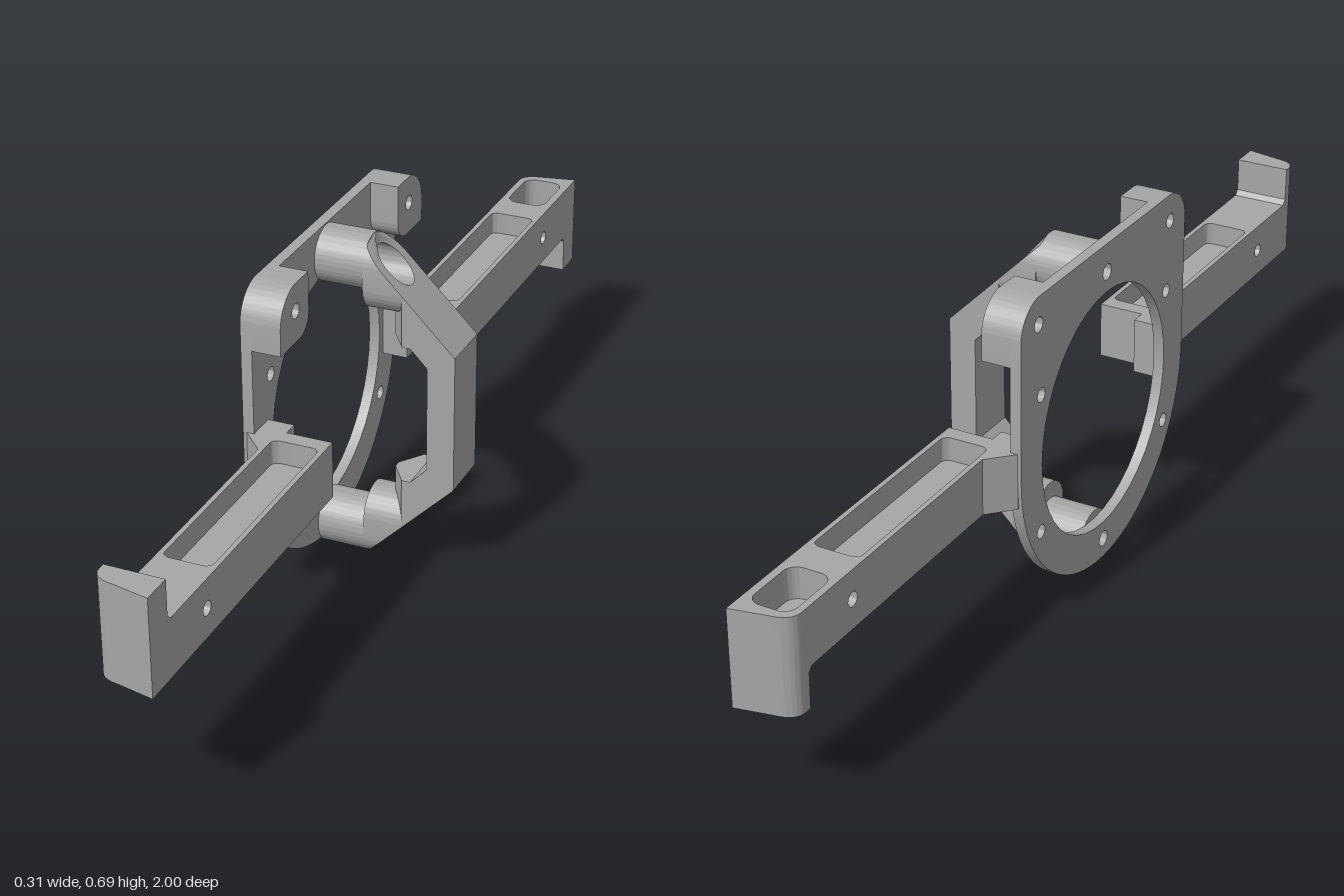
import * as THREE from 'three';
import { toCreasedNormals } from 'three/addons/utils/BufferGeometryUtils.js';

const TOP = 0.69; // the part repeats under a half turn about the x axis at y = TOP / 2
const MID = TOP / 2;

const poly = (pts) => new THREE.Shape(pts.map(([a, b]) => new THREE.Vector2(a, b)));

const circle = (a, b, r) => {
  const p = new THREE.Path();
  p.absarc(a, b, r, 0, Math.PI * 2, true);
  return p;
};

// rectangle with a separate radius at each corner, in order: low-low, high-low, high-high, low-high
function roundRect(a0, b0, a1, b1, [r0, r1, r2, r3]) {
  const s = new THREE.Shape();
  const P = Math.PI;
  const corner = (a, b, r, ca, cb, start) =>
    r ? s.absarc(a + ca * r, b + cb * r, r, start, start + P / 2, false) : s.lineTo(a, b);
  s.moveTo(a0 + r0, b0);
  corner(a1, b0, r1, -1, 1, -P / 2);
  corner(a1, b1, r2, -1, -1, 0);
  corner(a0, b1, r3, 1, -1, P / 2);
  corner(a0, b0, r0, 1, 1, P);
  return s;
}

function extrude(shape, from, to, holes = []) {
  shape.holes.push(...holes);
  const g = new THREE.ExtrudeGeometry(shape, { depth: to - from, bevelEnabled: false, curveSegments: 20 });
  return g.translate(0, 0, from);
}

const X = new THREE.Vector3(1, 0, 0), Y = new THREE.Vector3(0, 1, 0), Z = new THREE.Vector3(0, 0, 1);
// shape drawn in (y, z), extruded along x
const alongX = (...args) => extrude(...args).applyMatrix4(new THREE.Matrix4().makeBasis(Y, Z, X));
// shape drawn in (z, x), extruded along y
const alongY = (...args) => extrude(...args).applyMatrix4(new THREE.Matrix4().makeBasis(Z, X, Y));

// re-places the two ends of an x extrusion made from 0 to 1, following rules of y
function fitEnds(g, start, end) {
  const p = g.attributes.position;
  for (let i = 0; i < p.count; i++) {
    const y = p.getY(i);
    p.setX(i, p.getX(i) > 0.5 ? end(y) : start(y));
  }
  return g;
}

export function createModel() {
  const model = new THREE.Group();
  const grey = new THREE.MeshStandardMaterial({ color: 0xa6a6a6 });
  grey.name = 'plain grey';

  const add = (parent, name, geometry) => {
    const mesh = new THREE.Mesh(toCreasedNormals(geometry, 0.5), grey);
    mesh.name = name;
    parent.add(mesh);
  };

  // ring plate: square shoulders above, half round below
  const plate = new THREE.Shape();
  const w = 0.325, r = 0.07;
  plate.moveTo(MID, w);
  plate.absarc(MID, 0, w, Math.PI / 2, Math.PI * 1.5, false);
  plate.absarc(TOP - r, -w + r, r, -Math.PI / 2, 0, false);
  plate.absarc(TOP - r, w - r, r, 0, Math.PI / 2, false);
  const plateHoles = [circle(MID, 0, 0.247), circle(0.06, 0, 0.016), circle(0.632, 0, 0.016)];
  for (const s of [-1, 1]) {
    plateHoles.push(circle(0.635, s * 0.26, 0.015), circle(0.49, s * 0.25, 0.014), circle(0.205, s * 0.25, 0.014));
  }
  add(model, 'ringPlate', alongX(plate, -0.155, -0.133, plateHoles));

  // corner bosses
  for (const s of [-1, 1]) {
    const shape = s > 0
      ? roundRect(0.572, 0.205, TOP, w, [0.04, 0, r, 0])
      : roundRect(0.572, -w, TOP, -0.205, [0, r, 0, 0.04]);
    add(model, s > 0 ? 'frontCornerBoss' : 'backCornerBoss',
      alongX(shape, -0.133, -0.075, [circle(0.635, s * 0.26, 0.015)]));
  }

  // handle: two identical ends and a grip
  const handle = new THREE.Group();
  handle.name = 'handle';
  model.add(handle);
  const R = 0.056, C = 0.059, STEP = -0.035;
  const slope = (y) => y - 0.05;
  const disc = () => roundRect(C - R, -R, C + R, R, [R, R, R, R]);
  for (const flip of [false, true]) {
    const end = new THREE.Group();
    end.name = flip ? 'upperHandleEnd' : 'lowerHandleEnd';
    if (flip) {
      end.position.y = TOP;
      end.rotation.x = Math.PI;
    }
    handle.add(end);
    // post with a screw hole at its foot and a wide bore above
    add(end, 'postFoot', alongX(disc(), -0.133, -0.1, [circle(C, 0, 0.016)]));
    add(end, 'post', fitEnds(alongX(disc(), 0, 1, [circle(C, 0, 0.035)]),
      () => -0.1, (y) => Math.min(STEP, slope(y))));
    // oblong head cut off by the sloping face
    add(end, 'head', fitEnds(alongX(roundRect(C - R, -R, 0.15, R, [R, R, R, R]), 0, 1, [circle(C, 0, 0.035)]),
      (y) => Math.min(STEP, slope(y)), (y) => Math.max(STEP, slope(y))));
    // diagonal arm
    add(end, 'diagonal', extrude(poly([
      [0.045, 0.097], [0.047, 0.097], [0.153, 0.203], [0.153, 0.236], [0.097, 0.236], [0.063, 0.201], [0.045, 0.201],
    ]), -R, R));
    // tapered rib inside the diagonal
    add(end, 'rib', alongY(poly([[-R, 0.046], [-0.008, 0.012], [0.008, 0.012], [R, 0.046]]), 0.097, 0.201));
  }
  const grip = new THREE.BoxGeometry(0.056, TOP - 0.472, 2 * R);
  add(handle, 'grip', grip.translate(0.125, MID, 0));

  // side arms with pockets, the back one turned upside down
  const X0 = -0.102, X1 = 0.012, Y0 = 0.288, Y1 = 0.402;
  const tip = (z) => {
    const s = new THREE.Shape();
    s.moveTo(z, X0);
    s.lineTo(0.95, X0);
    s.quadraticCurveTo(0.98, X0, 0.985, -0.06);
    s.lineTo(1, X1);
    s.lineTo(z, X1);
    return s;
  };
  const q = 0.015;
  const longPocket = () => roundRect(0.33, -0.092, 0.765, 0.002, [q, q, q, q]);
  const tipPocket = () => roundRect(0.835, -0.088, 0.965, -0.004, [0.025, 0.025, 0.025, 0.025]);
  const bar = () => roundRect(0.297, X0, 0.775, X1, [0, 0, 0, 0]);
  for (const flip of [false, true]) {
    const arm = new THREE.Group();
    arm.name = flip ? 'backArm' : 'frontArm';
    if (flip) {
      arm.position.y = TOP;
      arm.rotation.x = Math.PI;
    }
    model.add(arm);
    // pocketed length, open above and below a thin web
    add(arm, 'lowerWalls', alongY(bar(), Y0, 0.335, [longPocket()]));
    add(arm, 'web', alongY(bar(), 0.335, 0.355));
    add(arm, 'upperWalls', alongY(bar(), 0.355, Y1, [longPocket()]));
    // solid block with a cross hole
    add(arm, 'crossHoleBlock', alongX(roundRect(Y0, 0.775, Y1, 0.83, [0, 0, 0, 0]), X0, X1, [circle(MID, 0.802, 0.014)]));
    // hooked tip
    add(arm, 'tipWalls', alongY(tip(0.83), Y0, 0.35, [tipPocket()]));
    add(arm, 'tipTop', alongY(tip(0.83), 0.35, Y1));
    add(arm, 'hook', alongY(tip(0.938), Y1, 0.482));
    add(arm, 'hookFillet', alongX(poly([[Y1, 0.928], [Y1 + 0.01, 0.938], [Y1, 0.938]]), X0, X1));
    // joint to the ring plate
    add(arm, 'joint', alongY(poly([
      [0.265, -0.14], [0.325, -0.148], [0.372, -0.102], [0.32, -0.1], [0.32, -0.08], [0.265, -0.08],
    ]), Y0, Y1));
  }
  return model;
}
